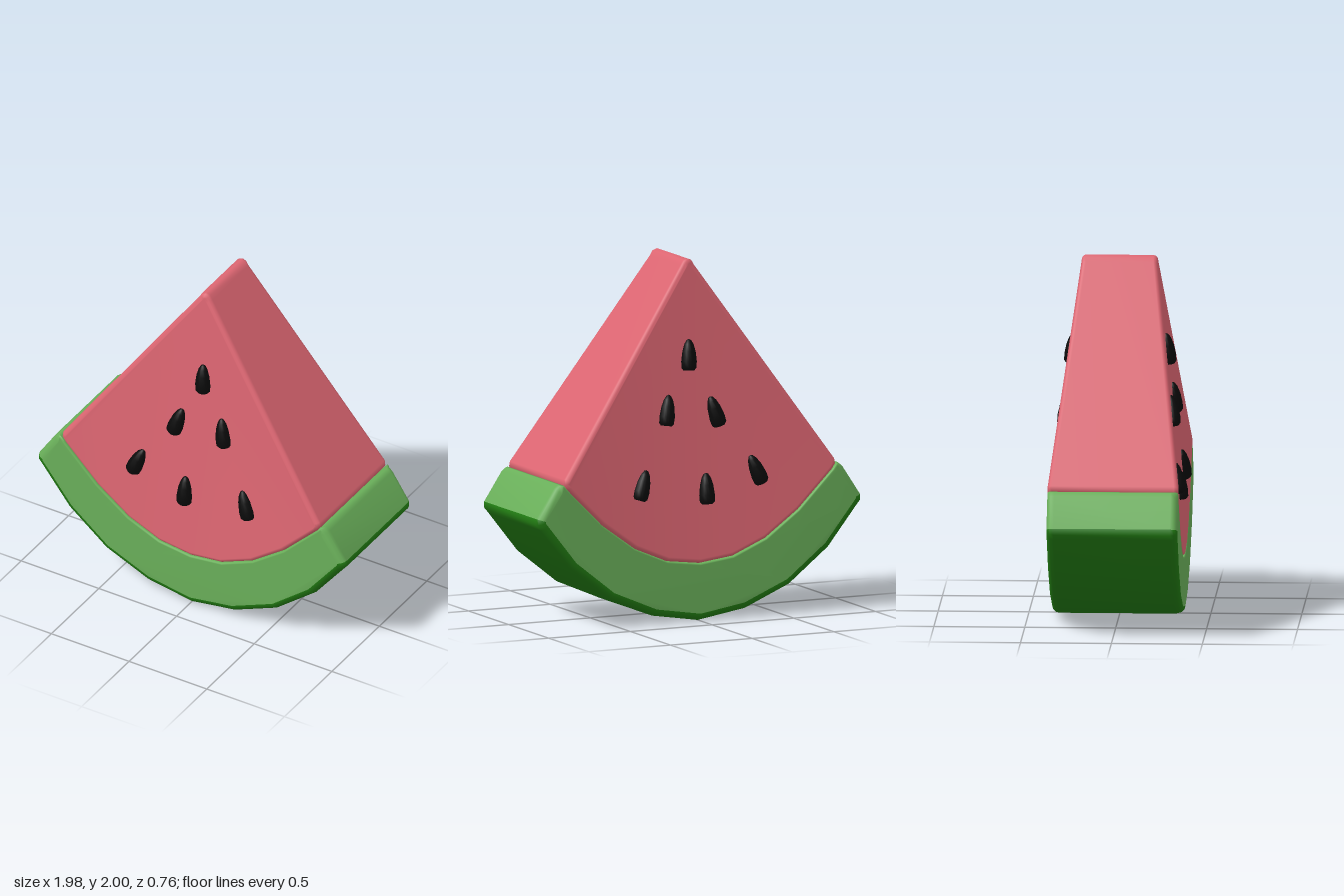
import * as THREE from 'three';

const material = (name, color) => {
  const m = new THREE.MeshStandardMaterial({ color });
  m.name = name;
  return m;
};

// Mirror a right-hand outline (bottom centre to top centre) into a closed loop
const mirrored = half => [
  ...half,
  ...half.slice(1, -1).reverse().map(([x, y, ...rest]) => [-x, y, ...rest]),
];

// Slab with rounded edges. Each outline point is [x, y, halfDepth, bevel].
// hub: corner the caps fan out from (otherwise triangulated);
// isSecond(edge): side strips that take the second material.
function roundedSlab(outline, { hub, isSecond = () => false }) {
  const n = outline.length, steps = 3;
  const edgeNormal = (p, q) => new THREE.Vector2(q[1] - p[1], p[0] - q[0]).normalize();
  const miters = outline.map((p, i) => {
    const a = edgeNormal(outline[(i + n - 1) % n], p);
    const b = edgeNormal(p, outline[(i + 1) % n]);
    return a.clone().add(b).divideScalar(1 + a.dot(b));
  });

  // Rings run from the front cap, round the edge, to the back cap
  const positions = [], capPoints = [];
  const addRing = (k, side) => outline.forEach(([x, y, depth, bevel], i) => {
    const angle = (k / steps) * Math.PI / 2;
    const inset = bevel * (1 - Math.sin(angle));
    const px = x - miters[i].x * inset, py = y - miters[i].y * inset;
    positions.push(px, py, side * (depth - bevel * (1 - Math.cos(angle))));
    if (k === 0 && side > 0) capPoints.push(new THREE.Vector2(px, py));
  });
  for (let k = 0; k <= steps; k++) addRing(k, 1);
  for (let k = steps; k >= 0; k--) addRing(k, -1);

  const first = [], second = [];
  const rings = 2 * steps + 2, last = (rings - 1) * n;
  const caps = hub === undefined
    ? THREE.ShapeUtils.triangulateShape(capPoints, [])
    : Array.from({ length: n - 2 }, (_, i) => [hub, (hub + i + 1) % n, (hub + i + 2) % n]);
  for (const [a, b, c] of caps) first.push(a, b, c, last + a, last + c, last + b);
  for (let r = 0; r < rings - 1; r++) {
    for (let j = 0; j < n; j++) {
      const a = r * n + j, b = r * n + (j + 1) % n;
      (isSecond(j) ? second : first).push(a, a + n, b, b, a + n, b + n);
    }
  }

  const geometry = new THREE.BufferGeometry();
  geometry.setAttribute('position', new THREE.Float32BufferAttribute(positions, 3));
  geometry.setIndex([...first, ...second]);
  geometry.addGroup(0, first.length, 0);
  if (second.length) geometry.addGroup(first.length, second.length, 1);
  geometry.computeVertexNormals();
  return geometry;
}

export function createModel() {
  const red = material('flesh red', 0xdd6672);
  const lightGreen = material('inner rind green', 0x6ab05a);
  const darkGreen = material('outer rind green', 0x217a12);
  const black = material('seed black', 0x0a0a0a);
  const model = new THREE.Group();
  model.name = 'watermelonSlice';

  const arc = [[0, 0.325], [0.2, 0.35], [0.4, 0.435], [0.6, 0.58], [0.81, 0.79]];
  const tipDepth = 0.21, rimDepth = 0.36;

  // Flesh wedge, thinner at the tip
  const fleshHalf = [
    ...arc, [0.83, 0.82], [0.825, 0.85],
    [0.04, 1.965], [0.025, 1.99], [0, 2],
  ].map(([x, y]) => [x, y, y > 1.9 ? tipDepth : rimDepth, 0.025]);
  const flesh = new THREE.Mesh(
    roundedSlab(mirrored(fleshHalf), { hub: fleshHalf.length - 1 }), [red]);
  flesh.name = 'flesh';
  model.add(flesh);

  // Rind: light band with a dark outer skin
  const skin = [[0, 0.005], [0.28, 0.05], [0.55, 0.165], [0.79, 0.355], [0.965, 0.575], [0.99, 0.605]];
  const rindEnd = [[0.988, 0.64], [0.88, 0.803], [0.855, 0.822]];
  const rindHalf = [
    ...[...skin, ...rindEnd].map(p => [...p, rimDepth, 0.04]),
    ...[[0.835, 0.82], ...[...arc].reverse()].map(p => [...p, rimDepth, 0.01]),
  ];
  const rindLoop = mirrored(rindHalf);
  const rind = new THREE.Mesh(
    roundedSlab(rindLoop, {
      isSecond: j => j < skin.length || j >= rindLoop.length - skin.length,
    }),
    [lightGreen, darkGreen]);
  rind.name = 'rind';
  model.add(rind);

  // Teardrop seeds, half sunk into both faces
  const seedProfile = [
    [0, -0.085], [0.032, -0.085], [0.043, -0.072], [0.045, -0.035],
    [0.038, 0.02], [0.026, 0.06], [0.013, 0.081], [0, 0.087],
  ].map(([r, y]) => new THREE.Vector2(r, y));
  const seedGeometry = new THREE.LatheGeometry(seedProfile, 16);
  const seedSpots = [
    [0.025, 1.475, 0.05], [-0.12, 1.155, -0.3], [0.17, 1.18, 0.15],
    [-0.355, 0.82, -0.4], [-0.05, 0.735, 0], [0.34, 0.78, 0.3],
  ];
  const seeds = new THREE.Group();
  seeds.name = 'seeds';
  for (const side of [1, -1]) {
    for (const [x, y, tilt] of seedSpots) {
      const seed = new THREE.Mesh(seedGeometry, black);
      const depth = tipDepth + (rimDepth - tipDepth) * Math.hypot(x, 2 - y) / 1.6;
      seed.name = side > 0 ? 'frontSeed' : 'backSeed';
      seed.position.set(x, y, side * depth);
      seed.rotation.set(-side * 0.09, 0, tilt);
      seeds.add(seed);
    }
  }
  model.add(seeds);
  return model;
}
